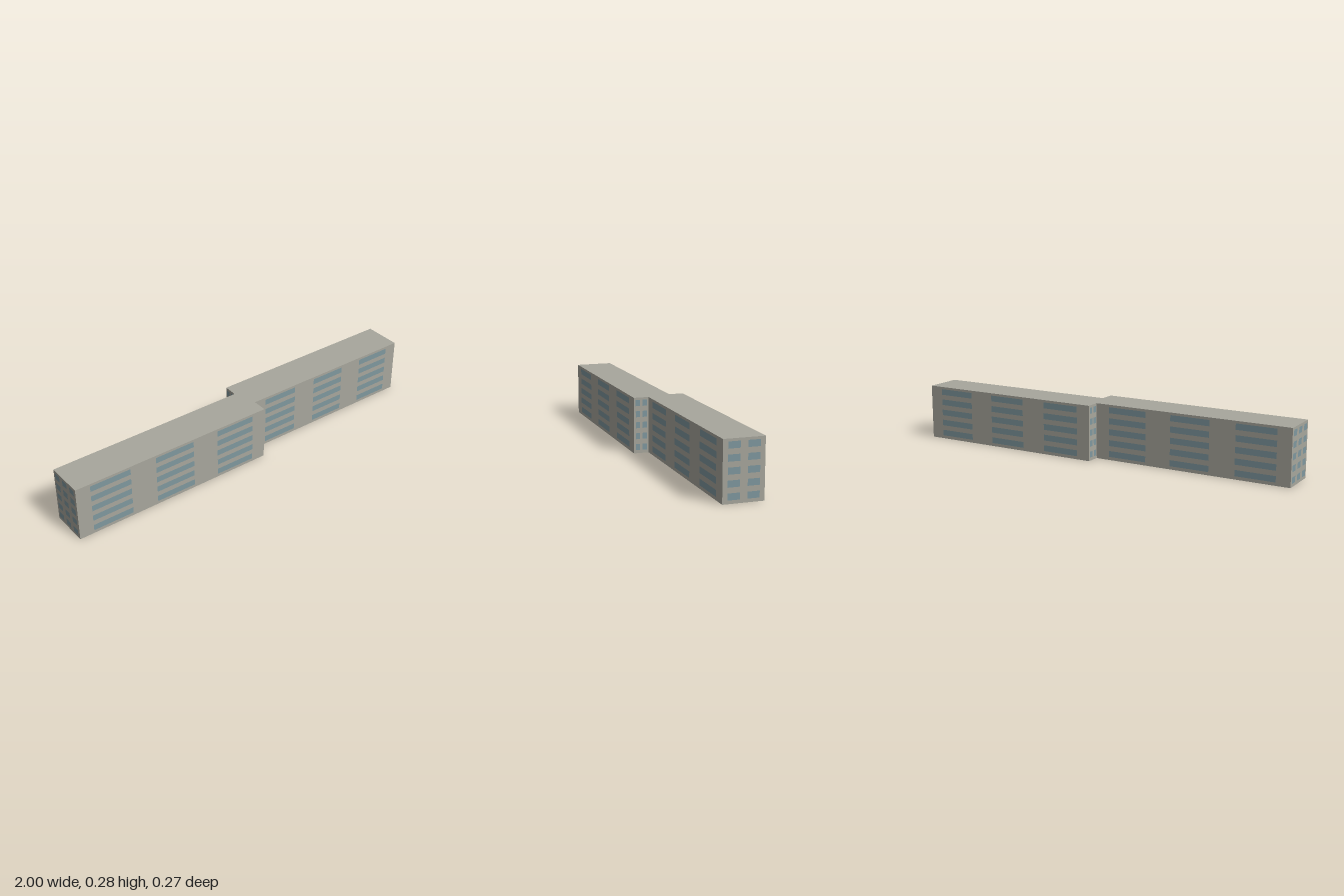
import * as THREE from 'three';

const HEIGHT = 0.277;

// Footprint corners (x, z), walked so that each wall faces outwards
const corners = [
  [-1, 0.055], [0.042, 0.1345], [0.048, 0.06], [0.985, 0.131],
  [1, -0.058], [0.029, -0.131], [0.022, -0.061], [-0.986, -0.1345],
];
const wallNames = [
  'frontWallRight', 'frontStepWall', 'frontWallLeft', 'leftEndWall',
  'backWallLeft', 'backStepWall', 'backWallRight', 'rightEndWall',
];

// Window columns as fractions of the wall's length
const three = [[0.07, 0.27], [0.4, 0.6], [0.73, 0.93]];
const two = [[0.12, 0.41], [0.59, 0.88]];
const columns = [three, two, three, two, three, two, three, three];

export function createModel() {
  const building = new THREE.Group();
  building.name = 'building';
  const concrete = new THREE.MeshStandardMaterial({ color: 0xa8a79d, side: THREE.DoubleSide });
  concrete.name = 'concrete';
  const glass = new THREE.MeshStandardMaterial({ color: 0x7f989f });
  glass.name = 'glass';

  // Flat roof; the underside stays open
  const outline = new THREE.Shape(corners.map(([x, z]) => new THREE.Vector2(x, -z)));
  const roof = new THREE.Mesh(new THREE.ShapeGeometry(outline).rotateX(-Math.PI / 2), concrete);
  roof.name = 'roof';
  roof.position.y = HEIGHT;
  building.add(roof);

  corners.forEach(([x0, z0], i) => {
    const [x1, z1] = corners[(i + 1) % corners.length];
    const length = Math.hypot(x1 - x0, z1 - z0);

    // Wall frame: x runs along the wall, z points outwards
    const side = new THREE.Group();
    side.name = wallNames[i];
    side.position.set(x0, 0, z0);
    side.rotation.y = Math.atan2(z0 - z1, x1 - x0);
    building.add(side);

    const wall = new THREE.Mesh(new THREE.PlaneGeometry(length, HEIGHT), concrete);
    wall.name = 'wall';
    wall.position.set(length / 2, HEIGHT / 2, 0);
    side.add(wall);

    // Five floors of windows
    for (let floor = 0; floor < 5; floor++) {
      for (const [a, b] of columns[i]) {
        const pane = new THREE.Mesh(new THREE.PlaneGeometry((b - a) * length, 0.03), glass);
        pane.name = 'window';
        pane.position.set((a + b) / 2 * length, 0.031 + floor * 0.0548, 0.0012);
        side.add(pane);
      }
    }
  });

  return building;
}
